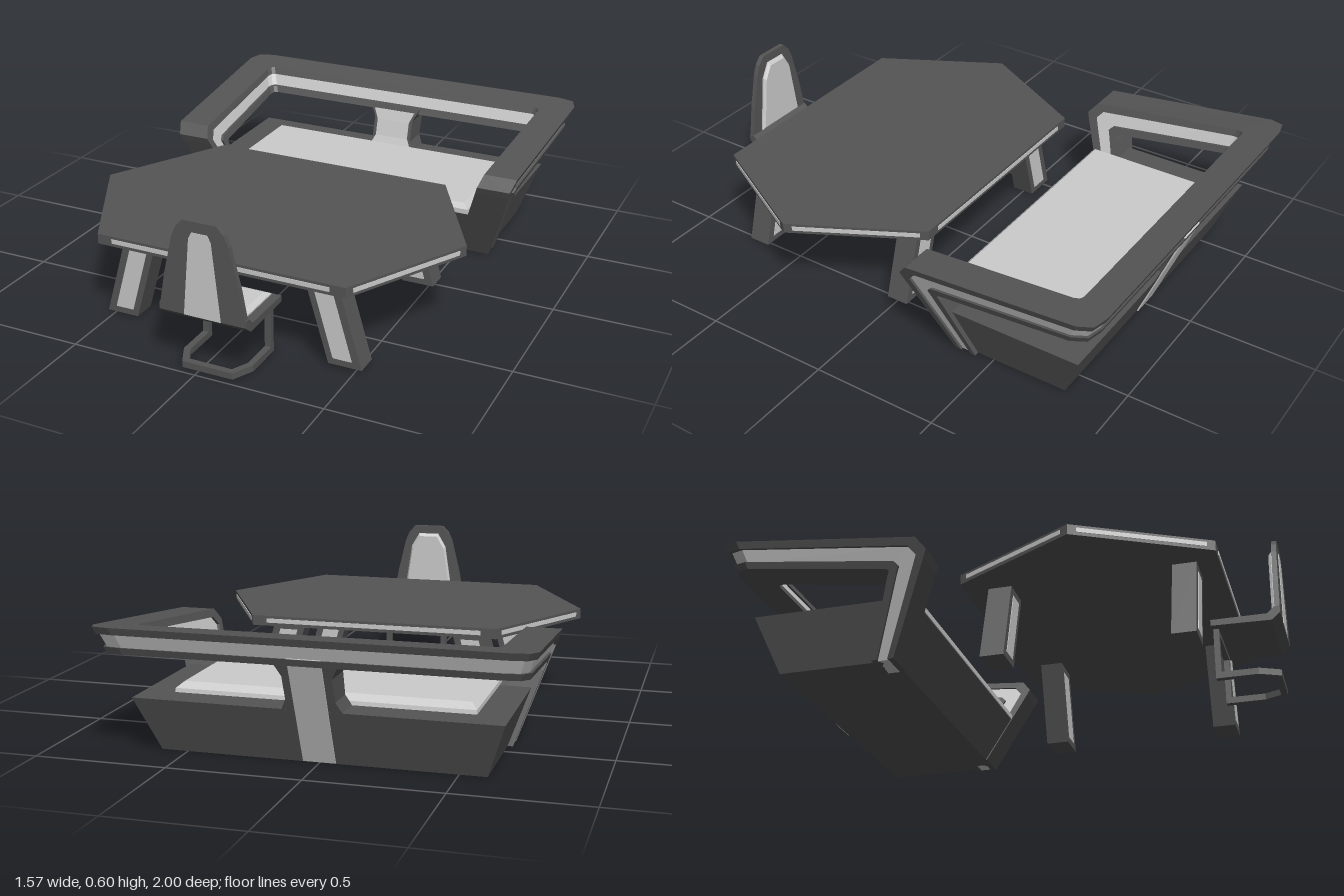
import * as THREE from 'three';

const mat = (color) => new THREE.MeshStandardMaterial({ color, flatShading: true });

export function createModel() {
  const root = new THREE.Group();
  const dark = mat(0x555555), light = mat(0xcccccc);

  const add = (parent, name, geometry, material) => {
    const mesh = new THREE.Mesh(geometry, material);
    mesh.name = name;
    parent.add(mesh);
    return mesh;
  };
  const group = (name) => {
    const g = new THREE.Group();
    g.name = name;
    root.add(g);
    return g;
  };

  // Solid skinned over a row of convex cross-sections, turned to face outwards
  const loft = (sections) => {
    const n = sections[0].length, tris = [];
    for (let i = 0; i + 1 < sections.length; i++) {
      const a = sections[i], b = sections[i + 1];
      for (let j = 0; j < n; j++) {
        const k = (j + 1) % n;
        tris.push([a[j], a[k], b[k]], [a[j], b[k], b[j]]);
      }
    }
    const last = sections[sections.length - 1];
    for (let j = 1; j < n - 1; j++) {
      tris.push([sections[0][0], sections[0][j + 1], sections[0][j]], [last[0], last[j], last[j + 1]]);
    }
    const volume = tris.reduce((s, [a, b, c]) => s + a.dot(b.clone().cross(c)), 0);
    const points = tris.flatMap(([a, b, c]) => (volume < 0 ? [a, c, b] : [a, b, c]));
    const g = new THREE.BufferGeometry().setFromPoints(points);
    g.computeVertexNormals();
    return g;
  };
  const V = (x, y, z) => new THREE.Vector3(x, y, z);
  const rect = (hw, y, z0, z1) => [V(-hw, y, z0), V(hw, y, z0), V(hw, y, z1), V(-hw, y, z1)];

  // Flat outline extruded along +z
  const prism = (pts, depth) => new THREE.ExtrudeGeometry(
    new THREE.Shape(pts.map(([x, y]) => new THREE.Vector2(x, y))), { depth, bevelEnabled: false });
  // Outline given as (x, z), hanging down from the given top height
  const slab = (pts, top, depth) => prism(pts, depth).rotateX(Math.PI / 2).translate(0, top, 0);
  const box = (w, h, d, x, y, z) => new THREE.BoxGeometry(w, h, d).translate(x, y, z);

  // ---- Sofa ----
  const sofa = group('sofa');
  const sideX = (y) => 0.62 + 0.345 * y;
  const topY = (z) => 0.41 + 0.0974 * (-z - 0.23);
  const lowY = (z) => 0.308 + 0.123 * (-z - 0.345);
  const width = 0.135;

  // Frame stations: [outer top, inner top, inner bottom, outer bottom]
  const sideStation = ([z, y, zb, yb]) => [
    V(sideX(y), y, z), V(sideX(y) - width, y, z),
    V(sideX(yb) - width, yb, zb), V(sideX(yb), yb, zb)];
  const cornerStation = ([xo, zo, xi, zi]) => [
    V(xo, topY(zo), zo), V(xi, topY(zi), zi),
    V(xi - 0.035, lowY(zi + 0.04), zi + 0.04), V(xo - 0.035, lowY(zo + 0.04), zo + 0.04)];
  const half = [
    ...[[-0.345, 0, -0.43, 0], [-0.2, 0.33, -0.345, 0.275],
      [-0.188, 0.36, -0.335, 0.3], [-0.225, 0.405, -0.345, 0.308]].map(sideStation),
    ...[[0.787, -0.93, 0.652, -0.845], [0.765, -0.985, 0.645, -0.865],
      [0.7, -1, 0.63, -0.872]].map(cornerStation)];
  const mirrored = half.slice().reverse().map((s) => s.map((p) => V(-p.x, p.y, p.z)));
  const stations = [...half, ...mirrored];

  // Layer of the frame between depths t0..t1, pulled in by an inset on both flanks
  const layer = (t0, t1, inset) => loft(stations.map(([ot, it, ib, ob]) => {
    const at = (s, t) => ot.clone().lerp(ob, t).lerp(it.clone().lerp(ib, t), s);
    return [at(inset, t0), at(1 - inset, t0), at(1 - inset, t1), at(inset, t1)];
  }));
  add(sofa, 'frameUpperRail', layer(0, 0.27, 0), dark);
  add(sofa, 'frameInlay', layer(0.25, 0.77, 0.08), light);
  add(sofa, 'frameLowerRail', layer(0.75, 1, 0), dark);

  add(sofa, 'base', loft([rect(0.6, 0, -0.8, -0.35), rect(0.672, 0.21, -0.885, -0.257)]), dark);
  add(sofa, 'seatCushion', loft([rect(0.555, 0.205, -0.775, -0.255),
    rect(0.553, 0.225, -0.772, -0.255), rect(0.53, 0.245, -0.74, -0.275)]), light);

  // Central back support, flared at both ends, with light faces
  add(sofa, 'backSupport', loft([rect(0.115, 0.2, -0.88, -0.765), rect(0.09, 0.25, -0.9, -0.785),
    rect(0.09, 0.34, -0.935, -0.808), rect(0.115, 0.39, -0.955, -0.825)]), dark);
  add(sofa, 'backSupportPanel', loft([rect(0.095, 0.22, -0.8, -0.768), rect(0.075, 0.26, -0.81, -0.784),
    rect(0.075, 0.33, -0.83, -0.802), rect(0.095, 0.375, -0.85, -0.816)]), light);
  add(sofa, 'backStrip', loft([rect(0.06, 0.003, -0.807, -0.78), rect(0.06, 0.41, -0.97, -0.92)]), light);

  // ---- Table ----
  const table = group('table');
  const hex = [[0.755, 0.34], [0.495, 0.82], [-0.495, 0.82], [-0.755, 0.34], [-0.495, -0.14], [0.495, -0.14]];
  add(table, 'tableTop', slab(hex, 0.37, 0.04), dark);
  hex.forEach(([x, z], i) => {
    const [x2, z2] = hex[(i + 1) % 6];
    const length = Math.hypot(x2 - x, z2 - z);
    const strip = add(table, 'edgeStrip', new THREE.BoxGeometry(length * 0.88, 0.017, 0.005), light);
    strip.position.set((x + x2) / 2, 0.351, (z + z2) / 2);
    strip.rotation.y = -Math.atan2(z2 - z, x2 - x);
  });

  // Splayed legs with inlaid faces
  for (const s of [1, -1]) {
    for (const z of [0.65, -0.05]) {
      const outline = [[0.525, 0.01], [0.395, 0.01], [0.3, 0.335], [0.43, 0.335]];
      const inlay = [[0.487, 0.035], [0.413, 0.035], [0.337, 0.3], [0.41, 0.3]];
      const flip = (pts) => pts.map(([x, y]) => [x * s, y]);
      add(table, 'tableLeg', prism(flip(outline), 0.09).translate(0, 0, z), dark);
      add(table, 'legInlay', prism(flip(inlay), 0.094).translate(0, 0, z - 0.002), light);
    }
  }

  // ---- Chair ----
  const chair = group('chair');
  chair.position.x = 0.04;
  const symmetric = (pts) => [...pts, ...pts.slice().reverse().map(([x, y]) => [-x, y])];
  add(chair, 'backrest', prism(symmetric([[0.17, 0.24], [0.145, 0.38], [0.11, 0.525],
    [0.093, 0.565], [0.065, 0.595]]), 0.02).translate(0, 0, 0.978), dark);
  add(chair, 'backrestRearPanel', prism(symmetric([[0.072, 0.235], [0.043, 0.53], [0.03, 0.555]]), 0.004)
    .translate(0, 0, 0.996), light);
  const pad = (k, z) => [[0.115, 0.265], [0.08, 0.5], [0.045, 0.56]].map(([x, y]) => V(x * k, 0.41 + (y - 0.41) * k, z));
  const padSection = (k, z) => {
    const p = pad(k, z);
    return [...p, ...p.slice().reverse().map((v) => V(-v.x, v.y, v.z))];
  };
  add(chair, 'backrestPad', loft([padSection(1, 0.98), padSection(1, 0.972), padSection(0.92, 0.962)]), light);

  // Seat shell, side profile given as (z, y)
  add(chair, 'seatShell', prism([[0.735, 0.212], [0.735, 0.236], [0.95, 0.236], [0.978, 0.262],
    [0.998, 0.262], [0.998, 0.235], [0.965, 0.207]], 0.34).rotateY(-Math.PI / 2).translate(0.17, 0, 0), dark);
  add(chair, 'seatPad', loft([rect(0.135, 0.23, 0.745, 0.945), rect(0.135, 0.242, 0.745, 0.945),
    rect(0.115, 0.252, 0.765, 0.925)]), light);

  // Cantilever frame: uprights, top bar and a floor loop with clipped corners
  for (const s of [1, -1]) add(chair, 'chairUpright', box(0.025, 0.2, 0.022, s * 0.127, 0.11, 0.751), dark);
  add(chair, 'chairTopBar', box(0.28, 0.02, 0.022, 0, 0.2, 0.751), dark);
  const loop = [[0.14, 0.74], [0.14, 0.9], [0.1, 0.98], [-0.1, 0.98], [-0.14, 0.9], [-0.14, 0.74],
    [-0.115, 0.74], [-0.115, 0.893], [-0.085, 0.955], [0.085, 0.955], [0.115, 0.893], [0.115, 0.74]];
  add(chair, 'chairFloorLoop', slab(loop, 0.032, 0.025), dark);

  return root;
}
